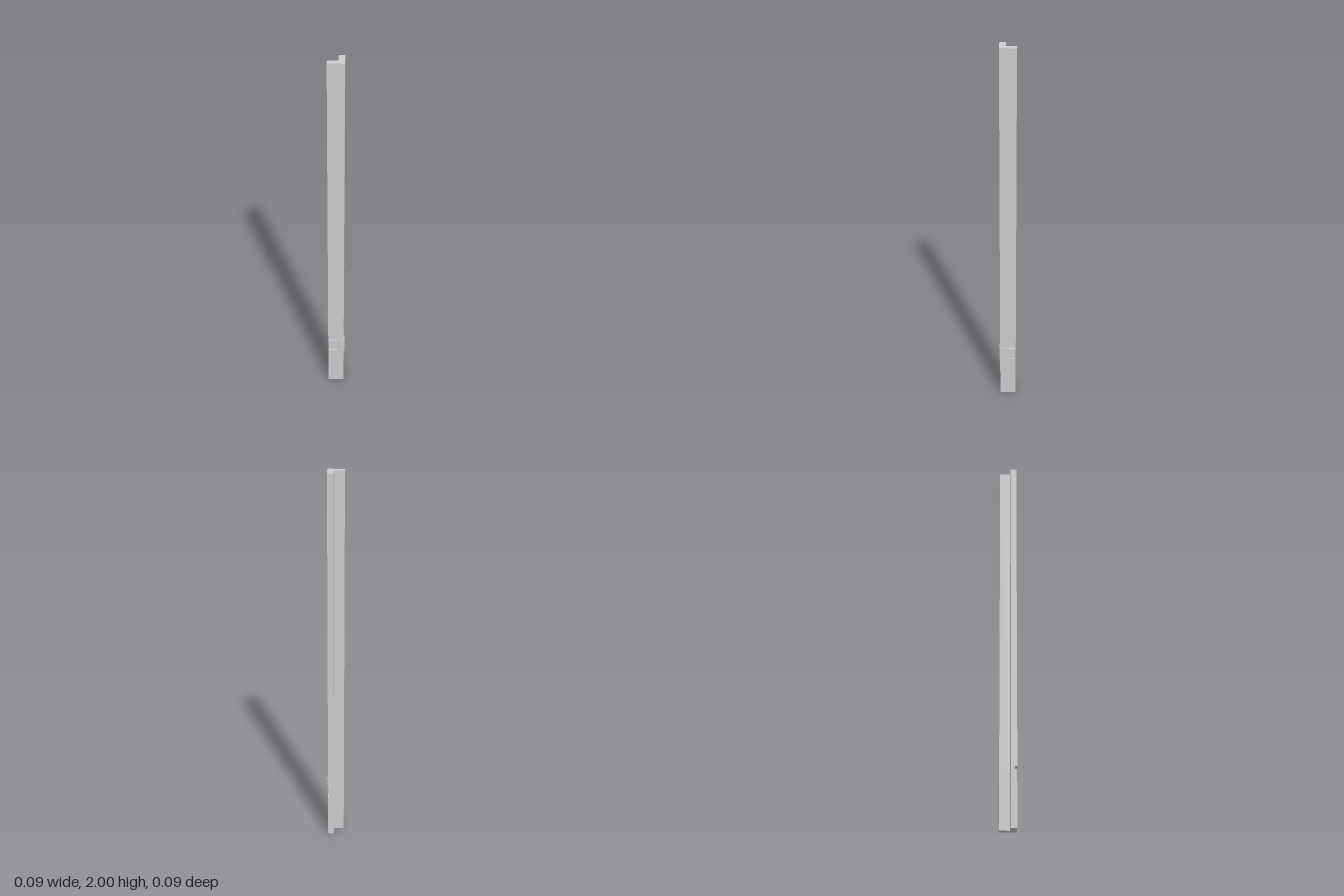
import * as THREE from 'three';

const material = new THREE.MeshStandardMaterial({ color: 0xcccccc, flatShading: true });

const END = -0.044;    // free end of each leg
const INNER = 0.009;   // inside faces of the angle
const OUTER = 0.04;    // outside faces of the angle

// Extrudes a plan outline of [x, z] points between two heights.
function prism(name, points, y0, y1) {
  const shape = new THREE.Shape(points.map(([x, z]) => new THREE.Vector2(x, -z)));
  const geometry = new THREE.ExtrudeGeometry(shape, { depth: y1 - y0, bevelEnabled: false });
  geometry.rotateX(-Math.PI / 2);
  geometry.translate(0, y0, 0);
  const mesh = new THREE.Mesh(geometry, material);
  mesh.name = name;
  return mesh;
}

// L-shaped plan with adjustable outside faces.
function anglePlan(outer) {
  return [[END, INNER], [END, outer], [outer, outer], [outer, END], [INNER, END], [INNER, INNER]];
}

export function createModel() {
  const group = new THREE.Group();
  group.name = 'cornerPost';

  // Full sections, with a shallow band and a deeper groove between them
  const sections = [
    ['base', 0, 0.225, OUTER],
    ['recessedBand', 0.225, 0.29, 0.035],
    ['groove', 0.29, 0.305, 0.029],
    ['upperPost', 0.305, 2, OUTER],
  ];
  for (const [name, y0, y1, outer] of sections) {
    group.add(prism(name, anglePlan(outer), y0, y1));
  }

  // Chamfered clip standing proud around the outside corner
  const p = 0.044, c = 0.004;
  group.add(prism('cornerClip', [
    [INNER, INNER], [INNER, OUTER], [INNER + c, p], [p - c, p],
    [p, p - c], [p, INNER + c], [OUTER, INNER],
  ], 0.225, 0.305));

  return group;
}
